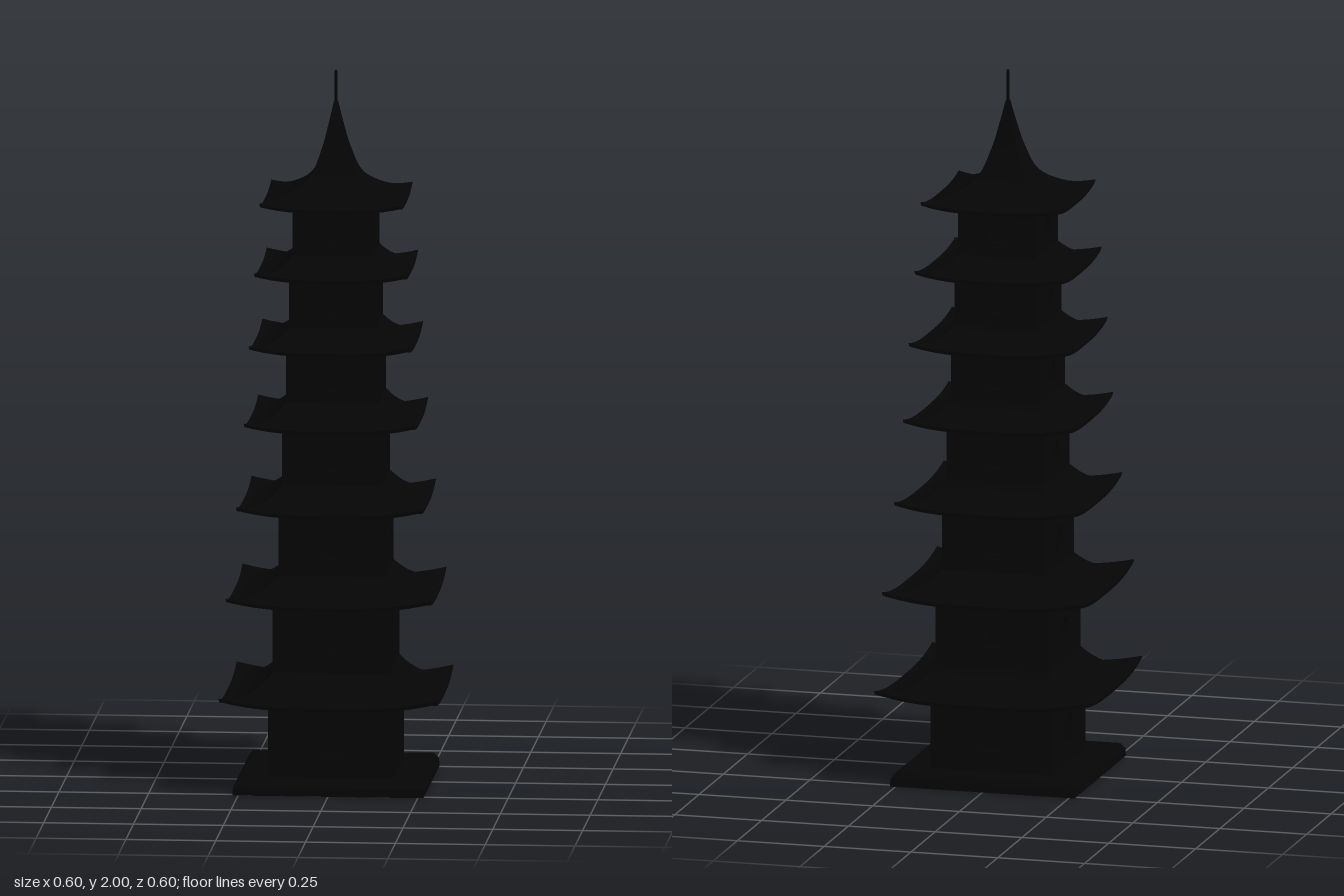
import * as THREE from 'three';
import { mergeGeometries } from 'three/addons/utils/BufferGeometryUtils.js';

const material = new THREE.MeshStandardMaterial({ color: 0x050505 });

// storeys: wall half width, wall foot, eave half width, eave height, roof top, opening sill
const STOREYS = [
  { half: 0.174, foot: 0.03, eave: 0.302, eaveY: 0.253, top: 0.33, sill: 0.095 },
  { half: 0.163, foot: 0.31, eave: 0.284, eaveY: 0.533, top: 0.6, sill: 0.39 },
  { half: 0.148, foot: 0.58, eave: 0.257, eaveY: 0.788, top: 0.855, sill: 0.65 },
  { half: 0.138, foot: 0.835, eave: 0.237, eaveY: 1.022, top: 1.085, sill: 0.895 },
  { half: 0.128, foot: 1.065, eave: 0.224, eaveY: 1.239, top: 1.295, sill: 1.118 },
  { half: 0.12, foot: 1.275, eave: 0.211, eaveY: 1.443, top: 1.495, sill: 1.33 },
  { half: 0.112, foot: 1.475, eave: 0.197, eaveY: 1.638, sill: 1.53 },
];
const WALL = 0.015;

function mesh(name, geometry) {
  const m = new THREE.Mesh(geometry, material);
  m.name = name;
  return m;
}

// Sweeps rows of [half width, height, corner lift] across one side, then turns it to all four
function fourSides(rows, columns = 24) {
  const position = [], index = [];
  rows.forEach(([w, y, lift]) => {
    for (let j = 0; j <= columns; j++) {
      const t = (j / columns) * 2 - 1;
      position.push(w * t, y + lift * Math.abs(t) ** 3, w);
    }
  });
  for (let i = 0; i < rows.length - 1; i++) {
    for (let j = 0; j < columns; j++) {
      const a = i * (columns + 1) + j, c = a + columns + 1;
      index.push(a, c, a + 1, a + 1, c, c + 1);
    }
  }
  const side = new THREE.BufferGeometry();
  side.setAttribute('position', new THREE.Float32BufferAttribute(position, 3));
  side.setIndex(index);
  side.computeVertexNormals();
  return mergeGeometries([0, 1, 2, 3].map((k) => side.clone().rotateY(k * Math.PI / 2)));
}

// Roof skin, eave edge and sloping underside from a profile running downwards
function makeRoof(profile, wallHalf, lift) {
  const [w0] = profile[0], [w1, y1] = profile[profile.length - 1];
  const skin = profile.map(([w, y]) => [w, y, lift * ((w - w0) / (w1 - w0)) ** 3]);
  const edgeBottom = [w1 - 0.002, y1 - 0.01, lift];
  const soffit = [0, 0.35, 0.7, 1].map((s) => [
    THREE.MathUtils.lerp(w1 - 0.002, wallHalf - 0.005, s),
    y1 - 0.01 + 0.018 * s,
    lift * (1 - s) ** 3,
  ]);
  return mergeGeometries([
    fourSides(skin),
    fourSides([[w1, y1, lift], edgeBottom]),
    fourSides(soffit),
  ]);
}

// Round-headed opening outline
function arch(path, halfWidth, sill, height) {
  const spring = sill + height - halfWidth;
  path.moveTo(-halfWidth, sill);
  path.lineTo(halfWidth, sill);
  path.lineTo(halfWidth, spring);
  path.absarc(0, spring, halfWidth, 0, Math.PI, false);
  path.closePath();
  return path;
}

// Wall slab with an arched opening and a raised surround
function makeWall(halfWidth, half, bottom, top, openHalf, sill, height) {
  const slab = new THREE.Shape([
    new THREE.Vector2(-halfWidth, bottom), new THREE.Vector2(halfWidth, bottom),
    new THREE.Vector2(halfWidth, top), new THREE.Vector2(-halfWidth, top),
  ]);
  slab.holes.push(arch(new THREE.Path(), openHalf, sill, height));
  const rim = arch(new THREE.Shape(), openHalf + 0.006, sill - 0.006, height + 0.012);
  rim.holes.push(arch(new THREE.Path(), openHalf, sill, height));
  const extrude = (shape, depth) =>
    new THREE.ExtrudeGeometry(shape, { depth, bevelEnabled: false, curveSegments: 10 });
  return mergeGeometries([
    extrude(slab, WALL).translate(0, 0, half - WALL),
    extrude(rim, 0.003).translate(0, 0, half),
  ]);
}

function makeStorey(s, i) {
  const group = new THREE.Group();
  group.name = `storey${i + 1}`;
  const top = s.eaveY + 0.012;
  const openHalf = i === 0 ? 0.03 : 0.022;
  const openHeight = i === 0 ? 0.085 : 0.06;

  // four pierced walls around a solid core
  for (let k = 0; k < 4; k++) {
    const width = k % 2 ? s.half - WALL : s.half;
    const wall = mesh('wall', makeWall(width, s.half, s.foot, top, openHalf, s.sill, openHeight));
    wall.rotation.y = k * Math.PI / 2;
    group.add(wall);
  }
  const coreSize = 2 * (s.half - WALL);
  const core = mesh('core', new THREE.BoxGeometry(coreSize, top - s.foot, coreSize));
  core.position.y = (top + s.foot) / 2;
  group.add(core);

  // concave skirt roof, or the tall pointed one at the top
  let profile;
  if (s.top) {
    const inner = STOREYS[i + 1].half;
    profile = Array.from({ length: 11 }, (_, k) => {
      const u = k / 10;
      return [inner + (s.eave - inner) * u, s.eaveY + (s.top - s.eaveY) * (1 - u) ** 2.3];
    });
  } else {
    const curve = new THREE.SplineCurve([
      [0.005, 1.915], [0.02, 1.848], [0.038, 1.78], [0.07, 1.705], [0.135, 1.657], [s.eave, s.eaveY],
    ].map(([x, y]) => new THREE.Vector2(x, y)));
    profile = curve.getPoints(30).map((p) => [p.x, p.y]);
  }
  group.add(mesh('roof', makeRoof(profile, s.half, 0.085 * s.eave)));
  return group;
}

export function createModel() {
  const model = new THREE.Group();
  model.name = 'pagoda';

  // stepped plinth with a sloping upper edge
  const plinth = mergeGeometries([
    fourSides([[0.252, 0.038, 0], [0.264, 0.022, 0]], 1),
    fourSides([[0.264, 0.022, 0], [0.266, 0, 0]], 1),
    fourSides([[0, 0.038, 0], [0.252, 0.038, 0]], 1),
    fourSides([[0.266, 0, 0], [0, 0, 0]], 1),
  ]);
  model.add(mesh('plinth', plinth));

  STOREYS.forEach((s, i) => model.add(makeStorey(s, i)));

  // finial rod
  const finial = mesh('finial', new THREE.CylinderGeometry(0.004, 0.005, 0.1, 12));
  finial.position.y = 1.95;
  model.add(finial);
  return model;
}
